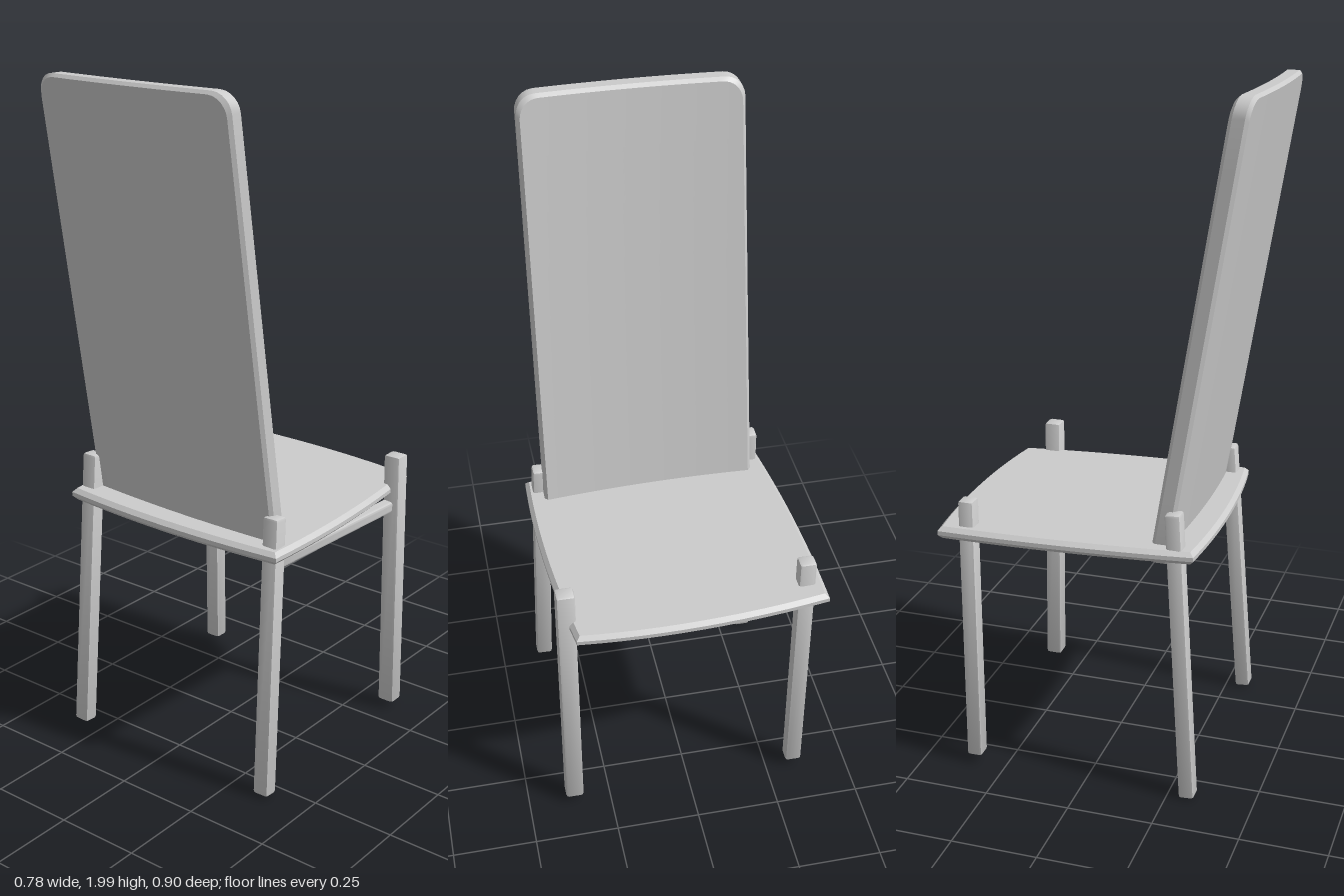
import * as THREE from 'three';
import { toCreasedNormals } from 'three/addons/utils/BufferGeometryUtils.js';
import { RoundedBoxGeometry } from 'three/addons/geometries/RoundedBoxGeometry.js';

const material = new THREE.MeshStandardMaterial({ color: 0xcccccc });

function part(name, geometry) {
  const mesh = new THREE.Mesh(toCreasedNormals(geometry, 0.6), material);
  mesh.name = name;
  return mesh;
}

// Square-section bar with softened edges, running from one point to another
function bar(name, from, to, width, depth) {
  const a = new THREE.Vector3(...from), b = new THREE.Vector3(...to);
  const mesh = part(name, new RoundedBoxGeometry(width, a.distanceTo(b), depth, 1, 0.008));
  mesh.position.copy(a).add(b).multiplyScalar(0.5);
  mesh.quaternion.setFromUnitVectors(new THREE.Vector3(0, 1, 0), b.sub(a).normalize());
  return mesh;
}

// Thin seat: slightly skewed outline with bowed edges and a bevelled rim
function seat() {
  const bevel = 0.012;
  const s = new THREE.Shape();
  s.moveTo(-0.38, 0.41);
  s.quadraticCurveTo(-0.01, 0.463, 0.33, 0.422);
  s.quadraticCurveTo(0.388, 0.06, 0.374, -0.285);
  s.quadraticCurveTo(0.01, -0.335, -0.337, -0.305);
  s.quadraticCurveTo(-0.385, 0.05, -0.38, 0.41);
  const g = new THREE.ExtrudeGeometry(s, {
    depth: 0.012, bevelEnabled: true, bevelThickness: bevel,
    bevelSize: bevel, bevelSegments: 1, curveSegments: 12,
  });
  g.translate(0, 0, -0.006);
  g.rotateX(-Math.PI / 2);
  const mesh = part('seat', g);
  mesh.position.y = 0.75;
  mesh.rotation.z = -0.022;
  return mesh;
}

// Tall backrest: rounded corners, gentle bow across the width, leaning backwards
function backrest() {
  const columns = 32, half = 0.325, thick = 0.054, radius = 0.055;
  const bottom = 0.7, top = 2;
  const g = new THREE.BoxGeometry(2, 2, 2, columns, 8, 3);
  const p = g.attributes.position;
  for (let i = 0; i < p.count; i++) {
    const u = Math.sin(p.getX(i) * Math.PI / 2); // columns gather at the ends
    const v = p.getY(i), w = p.getZ(i);
    const inset = Math.abs(w) > 0.9 ? 0.009 : 0;
    const over = Math.max(0, Math.abs(u) * half - (half - radius));
    const cut = radius - Math.sqrt(Math.max(0, radius * radius - over * over));
    const y = v > 0
      ? 1.35 + v * (top - 1.35 - cut - inset)
      : 1.35 + v * (1.35 - bottom - cut * 0.8 - inset);
    const taper = 1 - 0.015 * (y - bottom) / (top - bottom);
    const x = 0.013 + u * (half - inset) * taper;
    const depth = Math.abs(w) > 0.9 ? w * thick / 2 : w * thick * 0.95;
    const lean = 0.212 + (y - bottom) * 0.161;
    p.setXYZ(i, x, y, lean + depth - 0.012 * u * u + 0.002);
  }
  return part('backrest', g);
}

export function createModel() {
  const model = new THREE.Group();
  model.name = 'chair';
  model.add(seat(), backrest());

  // Splayed legs beside the backrest
  model.add(bar('backLegRight', [-0.331, 0.01, 0.308], [-0.315, 0.876, 0.252], 0.05, 0.045));
  model.add(bar('backLegLeft', [0.36, 0.015, 0.305], [0.342, 0.842, 0.243], 0.05, 0.045));

  // Upright legs at the open edge of the seat
  model.add(bar('frontLegRight', [-0.335, 0.035, -0.345], [-0.341, 0.852, -0.345], 0.05, 0.046));
  model.add(bar('frontLegLeft', [0.36, 0.03, -0.347], [0.357, 0.852, -0.34], 0.054, 0.05));

  // Single side rail under the seat
  model.add(bar('sideRail', [0.31, 0.68, 0.235], [0.35, 0.692, -0.32], 0.035, 0.034));
  return model;
}
